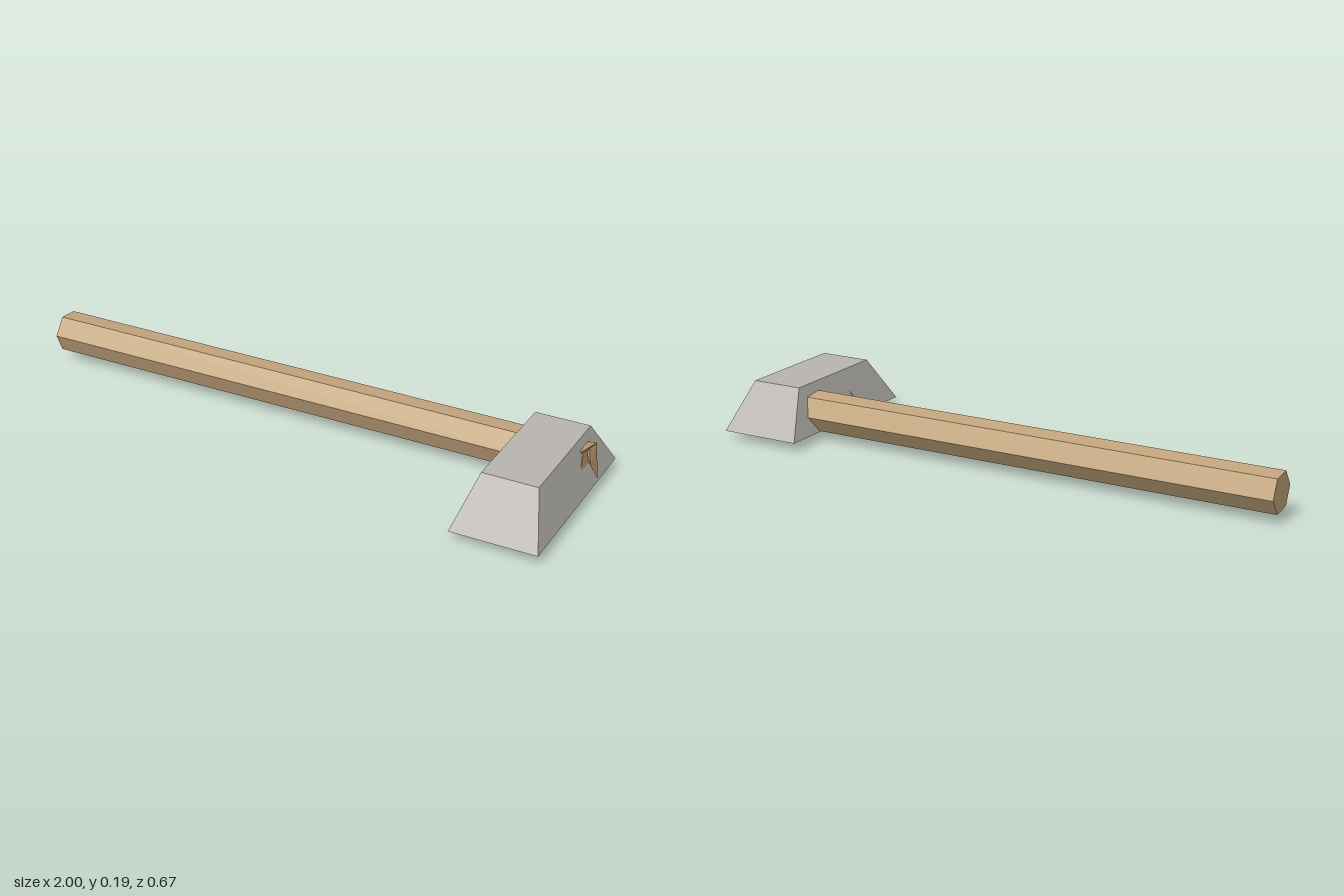
import * as THREE from 'three';
import { ConvexGeometry } from 'three/addons/geometries/ConvexGeometry.js';

export function createModel() {
  const model = new THREE.Group();
  const mat = (name, color) => {
    const m = new THREE.MeshStandardMaterial({ color });
    m.name = name;
    m.flatShading = true;
    return m;
  };
  const stone = mat('stone grey', 0xb8b5af);
  const wood = mat('light wood', 0xc4a67e);
  const splinterWood = mat('splinter wood', 0xb8946c);
  const yaw = 0.162;

  const add = (name, geometry, material) => {
    const mesh = new THREE.Mesh(geometry, material);
    mesh.name = name;
    model.add(mesh);
    return mesh;
  };
  const hull = (name, points) =>
    add(name, new ConvexGeometry(points.map((p) => new THREE.Vector3(...p))), splinterWood);

  // Hexagonal handle, lying down and running into the head
  const length = 1.87;
  const shaft = new THREE.CylinderGeometry(0.068, 0.068, length, 6, 1, false, -Math.PI / 30);
  shaft.rotateZ(-Math.PI / 2);
  shaft.translate(length / 2, 0, 0);
  const handle = add('handle', shaft, wood);
  handle.position.set(-0.99, 0.095, 0.153);
  handle.rotation.y = yaw;

  // Tapered head: a box with its upper corners drawn in
  const block = new THREE.BoxGeometry(0.284, 0.158, 0.628);
  const pos = block.attributes.position;
  for (let i = 0; i < pos.count; i++) {
    if (pos.getY(i) > 0) {
      pos.setX(i, pos.getX(i) * 0.642);
      pos.setZ(i, pos.getZ(i) * 0.653);
    }
  }
  block.computeVertexNormals();
  const head = add('head', block, stone);
  head.position.set(0.805, 0.109, -0.0025);
  head.rotation.y = yaw;

  // Ridged wedge showing under the head
  hull('lowerWedge', [
    [0.76, 0, 0.107], [0.82, 0, -0.193],
    [0.735, 0.031, 0.14], [0.8, 0.031, -0.197],
    [0.84, 0.031, 0.09], [0.9, 0.031, -0.2],
  ]);

  // Splintered handle tip poking through the outer face
  hull('tipFan', [
    [0.91, 0.105, -0.087], [0.896, 0.15, -0.125],
    [0.885, 0.14, -0.2], [0.894, 0.105, -0.215],
    [0.87, 0.105, -0.1], [0.86, 0.105, -0.2], [0.86, 0.145, -0.16],
  ]);
  hull('tipSpike', [
    [0.915, 0.105, -0.137], [0.925, 0.047, -0.17],
    [0.91, 0.16, -0.178], [0.905, 0.157, -0.145],
    [0.88, 0.11, -0.17], [0.87, 0.155, -0.165],
  ]);
  hull('tipCap', [
    [0.895, 0.157, -0.11], [0.908, 0.163, -0.18],
    [0.905, 0.15, -0.178], [0.895, 0.149, -0.118],
    [0.865, 0.155, -0.12], [0.865, 0.155, -0.175],
  ]);

  // Thin sliver on the inner face
  hull('innerSliver', [
    [0.688, 0.08, 0.09], [0.712, 0.13, 0.07],
    [0.695, 0.105, 0.078], [0.71, 0.1, 0.082],
  ]);

  return model;
}
